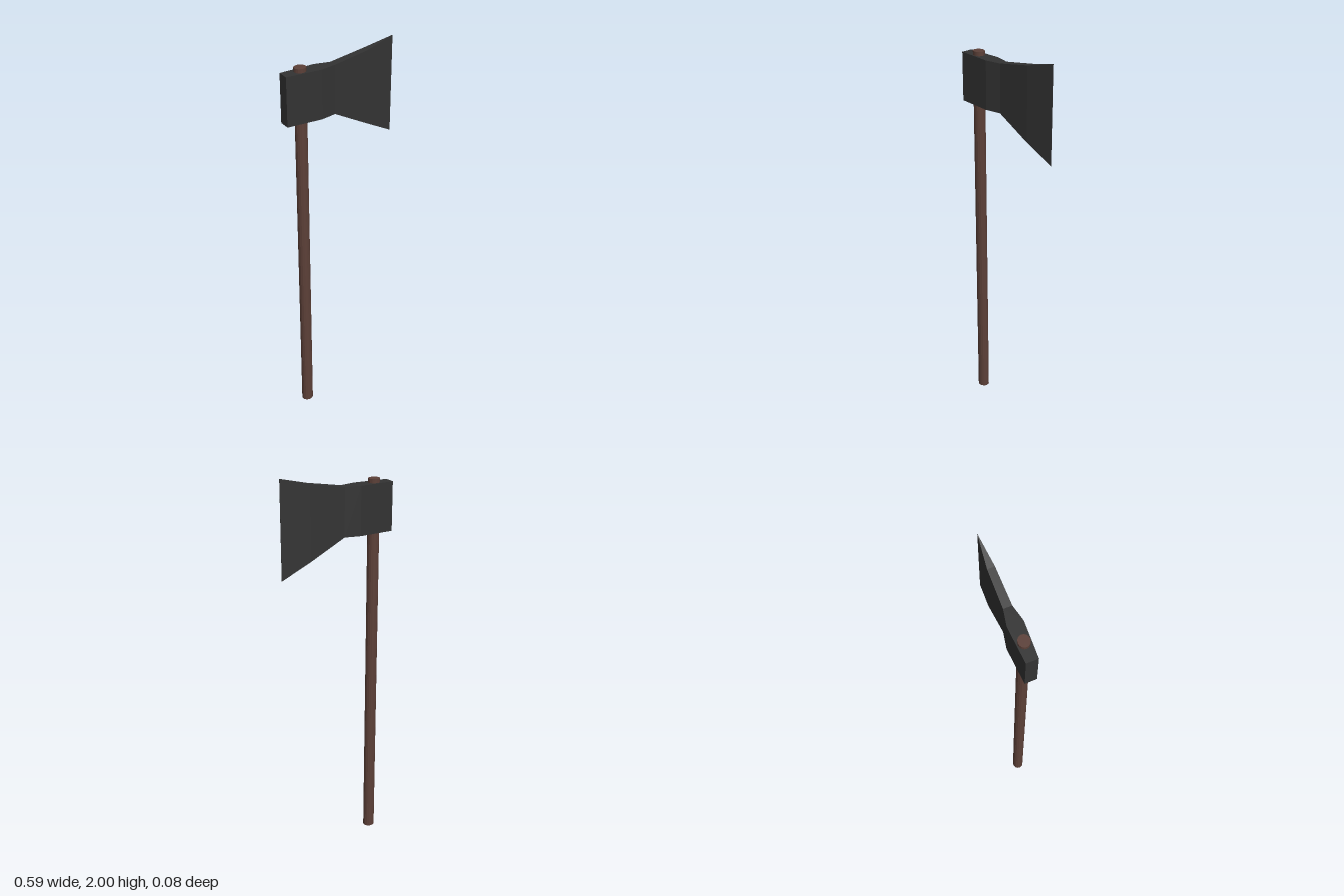
import * as THREE from 'three';

// Lofts rectangular sections [x, bottom, top, halfThickness] into a closed solid.
function loftSections(sections) {
  const positions = [];
  const index = [];
  for (const [x, y0, y1, h] of sections) {
    positions.push(x, y0, h, x, y1, h, x, y1, -h, x, y0, -h);
  }
  for (let i = 0; i < sections.length - 1; i++) {
    for (let j = 0; j < 4; j++) {
      const a = i * 4 + j;
      const d = i * 4 + (j + 1) % 4;
      index.push(a, a + 4, d + 4, a, d + 4, d);
    }
  }
  const e = (sections.length - 1) * 4;
  index.push(0, 1, 2, 0, 2, 3, e, e + 2, e + 1, e, e + 3, e + 2);
  const indexed = new THREE.BufferGeometry();
  indexed.setAttribute('position', new THREE.Float32BufferAttribute(positions, 3));
  indexed.setIndex(index);
  const geometry = indexed.toNonIndexed();
  geometry.computeVertexNormals();
  return geometry;
}

export function createModel() {
  const group = new THREE.Group();
  group.name = 'axe';

  const wood = new THREE.MeshStandardMaterial({ color: 0x5c4038, flatShading: true });
  const iron = new THREE.MeshStandardMaterial({ color: 0x333333, flatShading: true });

  // Straight shaft, slightly oval, poking out above the head
  const handle = new THREE.Mesh(new THREE.CylinderGeometry(0.03, 0.03, 1.95, 16), wood);
  handle.name = 'handle';
  handle.scale.z = 0.92;
  handle.position.set(-0.207, 0.975, 0);
  group.add(handle);

  // Head: poll, eye, neck, flared cheek and sharp cutting edge
  const head = new THREE.Mesh(loftSections([
    [-0.295, 1.685, 1.93, 0.029],
    [-0.115, 1.685, 1.93, 0.038],
    [-0.035, 1.685, 1.93, 0.021],
    [0.145, 1.59, 1.962, 0.018],
    [0.294, 1.51, 2.0, 0.0005],
  ]), iron);
  head.name = 'axeHead';
  group.add(head);

  return group;
}
